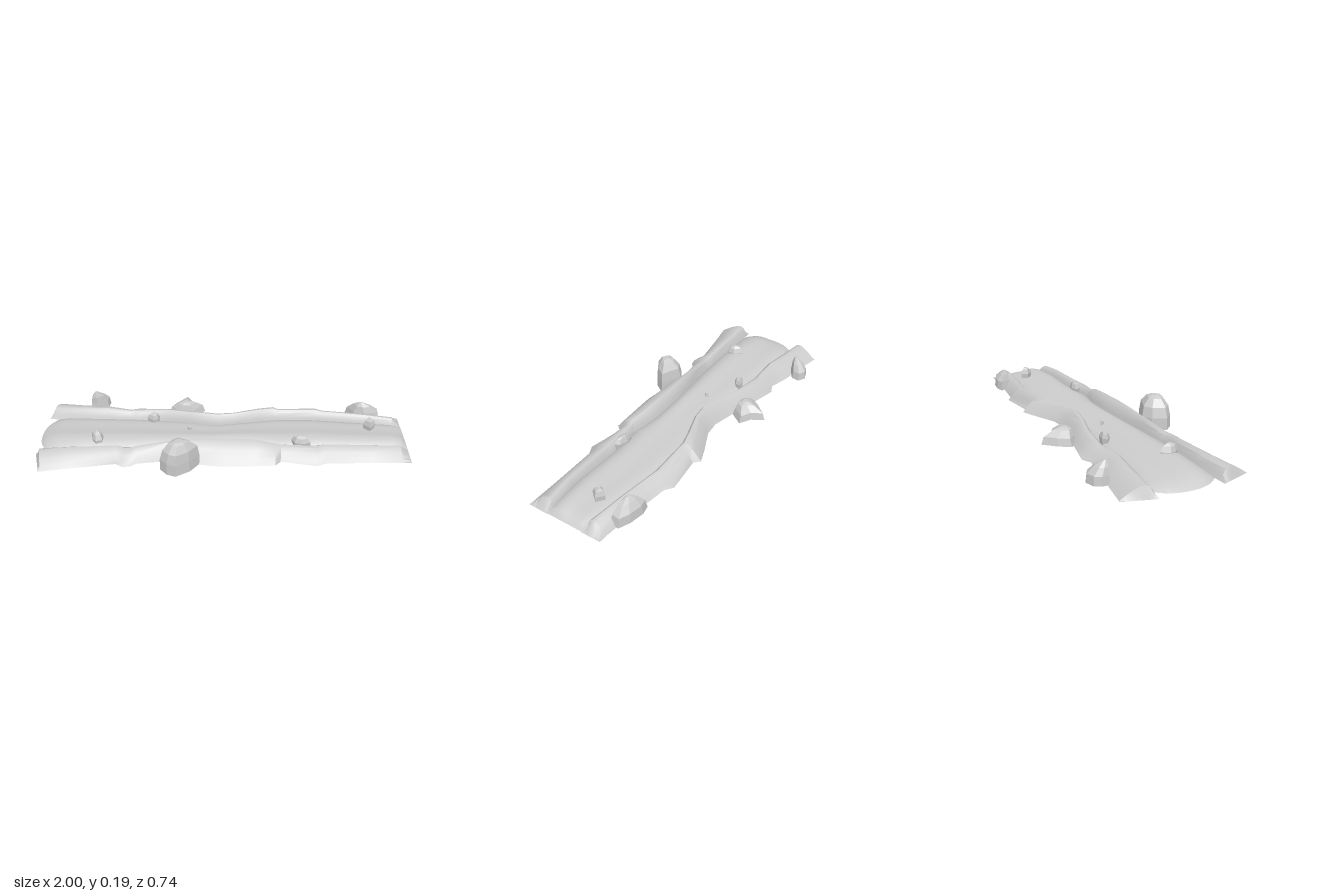
import * as THREE from 'three';
import { toCreasedNormals } from 'three/addons/utils/BufferGeometryUtils.js';

const ground = new THREE.MeshStandardMaterial({ color: 0xcccccc, side: THREE.DoubleSide });
const stone = new THREE.MeshStandardMaterial({ color: 0xcccccc, flatShading: true });

// Skin over rows of points (rows run along +x, points in a row along +z)
function loft(name, rows) {
  const n = rows[0].length, index = [];
  for (let i = 0; i < rows.length - 1; i++) {
    for (let j = 0; j < n - 1; j++) {
      const a = i * n + j, b = a + n;
      index.push(a, a + 1, b, b, a + 1, b + 1);
    }
  }
  const g = new THREE.BufferGeometry();
  g.setAttribute('position', new THREE.Float32BufferAttribute(rows.flat(2), 3));
  g.setIndex(index);
  const mesh = new THREE.Mesh(toCreasedNormals(g, 0.6), ground);
  mesh.name = name;
  return mesh;
}

// Bank: stations of [x, inner z, outer z, crest height]; the ends slope to the ground
const BANK_PROFILE = [[0, 0], [0.08, 0.45], [0.17, 0.85], [0.28, 1], [0.42, 0.96], [0.65, 0.66], [0.85, 0.3], [1, 0]];
function bank(name, side, stations, leftSkew) {
  const row = ([x, inner, outer, h], skew = 0) => {
    const pts = BANK_PROFILE.map(([t, k]) =>
      [x + skew * t, 0.016 + k * (h - 0.016), side * (inner + (outer - inner) * t)]);
    return side < 0 ? pts.reverse() : pts;
  };
  const first = stations[0], last = stations[stations.length - 1];
  const rows = [
    row([-1, first[1], first[2], 0.016], leftSkew),
    ...stations.map((s, i) => row(s, i === 0 ? leftSkew * 0.6 : 0)),
    row([1, last[1], last[2], 0.016]),
  ];
  return loft(name, rows);
}

// Stream bed: shallow dome across, rounded at the left end, sloping down at both ends
function streamBed() {
  const xs = [-1, -0.97, -0.9, -0.75, -0.5, -0.25, -0.05, 0.15, 0.3, 0.5, 0.75, 0.92, 0.97, 1];
  const zMid = [0.01, 0.01, 0.01, 0.015, 0.015, 0.015, 0.025, 0.005, 0, -0.01, 0.005, 0.005, 0.005, 0.005];
  const half = [0.16, 0.165, 0.17, 0.165, 0.16, 0.14, 0.11, 0.13, 0.16, 0.15, 0.14, 0.125, 0.12, 0.12];
  const ramp = [0, 0.5, 0.85, 1, 1, 1, 1, 1, 1, 1, 1, 0.9, 0.65, 0];
  const rise = [0, 0.027, 0.033, 0.034, 0.036, 0.04, 0.046, 0.05, 0.044, 0.03, 0];
  const rows = xs.map((x, i) => rise.map((r, j) => {
    const u = j / 5 - 1;
    const bend = 0.06 * Math.pow(Math.abs(u), 2.5) * Math.max(0, 1 - (x + 1) / 0.25);
    return [x + bend, 0.02 + r * ramp[i], zMid[i] + u * half[i]];
  }));
  return loft('streamBed', rows);
}

// Faceted stone: footprint [x, z] lifted through levels of [y, scale, shift x, shift z]
function rock(name, footprint, levels) {
  const n = footprint.length;
  const cx = footprint.reduce((s, p) => s + p[0], 0) / n;
  const cz = footprint.reduce((s, p) => s + p[1], 0) / n;
  const area = footprint.reduce((s, p, i) => {
    const q = footprint[(i + 1) % n];
    return s + p[0] * q[1] - q[0] * p[1];
  }, 0);
  const outline = area > 0 ? [...footprint].reverse() : footprint;
  const pos = [], index = [];
  for (const [y, k, dx = 0, dz = 0] of levels) {
    for (const [x, z] of outline) pos.push(cx + (x - cx) * k + dx, y, cz + (z - cz) * k + dz);
  }
  const top = levels[levels.length - 1];
  const bottomCentre = pos.length / 3, topCentre = bottomCentre + 1;
  pos.push(cx, levels[0][0], cz, cx + (top[2] || 0), top[0], cz + (top[3] || 0));
  for (let j = 0; j < n; j++) {
    const k = (j + 1) % n;
    for (let l = 0; l < levels.length - 1; l++) {
      const a = l * n + j, b = l * n + k;
      index.push(a, b, a + n, b, b + n, a + n);
    }
    const last = (levels.length - 1) * n;
    index.push(bottomCentre, k, j, topCentre, last + j, last + k);
  }
  const g = new THREE.BufferGeometry();
  g.setAttribute('position', new THREE.Float32BufferAttribute(pos, 3));
  g.setIndex(index);
  const flat = g.toNonIndexed();
  flat.computeVertexNormals();
  const mesh = new THREE.Mesh(flat, stone);
  mesh.name = name;
  return mesh;
}

export function createModel() {
  const model = new THREE.Group();
  model.name = 'streamPath';
  model.add(streamBed());

  // Raised banks on both sides, with notched outer edges
  model.add(bank('backBank', -1, [
    [-0.97, 0.155, 0.32, 0.075], [-0.8, 0.14, 0.295, 0.08], [-0.65, 0.125, 0.275, 0.088],
    [-0.53, 0.13, 0.245, 0.075], [-0.48, 0.13, 0.27, 0.075], [-0.3, 0.12, 0.23, 0.09],
    [-0.18, 0.085, 0.2, 0.1], [-0.03, 0.06, 0.168, 0.103], [0.06, 0.072, 0.178, 0.103],
    [0.2, 0.115, 0.243, 0.1], [0.28, 0.135, 0.275, 0.095], [0.31, 0.138, 0.247, 0.088],
    [0.52, 0.145, 0.275, 0.085], [0.56, 0.142, 0.245, 0.08], [0.78, 0.117, 0.22, 0.078],
    [0.95, 0.095, 0.207, 0.068],
  ], 0.05));
  model.add(bank('frontBank', 1, [
    [-0.97, 0.18, 0.345, 0.075], [-0.8, 0.17, 0.315, 0.08], [-0.56, 0.165, 0.27, 0.083],
    [-0.52, 0.165, 0.295, 0.075], [-0.48, 0.163, 0.29, 0.075], [-0.45, 0.162, 0.265, 0.08],
    [-0.3, 0.15, 0.24, 0.1], [-0.15, 0.12, 0.262, 0.112], [0, 0.108, 0.282, 0.112],
    [0.18, 0.11, 0.272, 0.106], [0.28, 0.135, 0.265, 0.092], [0.31, 0.138, 0.23, 0.08],
    [0.5, 0.122, 0.265, 0.075], [0.55, 0.122, 0.24, 0.08], [0.8, 0.122, 0.23, 0.076],
    [0.95, 0.105, 0.227, 0.066],
  ], 0.05));

  // Boulders beside the banks
  model.add(rock('tallBoulder',
    [[-0.32, 0.31], [-0.28, 0.355], [-0.235, 0.371], [-0.165, 0.325], [-0.115, 0.255], [-0.235, 0.205], [-0.29, 0.235]],
    [[0.015, 1], [0.08, 0.98], [0.135, 0.86, 0.005], [0.175, 0.5, 0.01, 0], [0.187, 0.25, 0.015, 0.005]]));
  model.add(rock('starBoulder',
    [[-0.215, -0.37], [-0.175, -0.305], [-0.11, -0.27], [-0.165, -0.195], [-0.26, -0.195], [-0.315, -0.245], [-0.275, -0.305]],
    [[0.015, 1], [0.055, 0.86], [0.085, 0.5, 0, 0.02], [0.095, 0.2, 0, 0.025]]));
  model.add(rock('backLeftBoulder',
    [[0.7, -0.25], [0.75, -0.262], [0.83, -0.25], [0.892, -0.225], [0.885, -0.175], [0.8, -0.165], [0.735, -0.185]],
    [[0.02, 1], [0.07, 0.88], [0.105, 0.5, -0.01, 0.01], [0.125, 0.14, -0.02, 0.015]]));
  model.add(rock('backRightBoulder',
    [[-0.785, -0.315], [-0.765, -0.35], [-0.715, -0.366], [-0.675, -0.345], [-0.68, -0.3], [-0.74, -0.258], [-0.78, -0.275]],
    [[0.015, 1], [0.06, 0.9], [0.095, 0.6, -0.005, 0.015], [0.125, 0.15, -0.01, 0.03]]));

  // Smaller stones lying in the bed
  const stones = [
    ['stoneA', [[-0.71, 0.085], [-0.68, 0.04], [-0.645, 0.09], [-0.645, 0.13], [-0.68, 0.142], [-0.7, 0.12]], 0.11, 0],
    ['stoneB', [[0.37, 0.1], [0.41, 0.09], [0.46, 0.105], [0.472, 0.13], [0.43, 0.147], [0.385, 0.135]], 0.106, 0.01],
    ['stoneC', [[-0.427, -0.1], [-0.4, -0.12], [-0.36, -0.117], [-0.365, -0.09], [-0.39, -0.073]], 0.1, 0.015],
    ['stoneD', [[0.775, -0.045], [0.8, -0.082], [0.842, -0.05], [0.81, -0.01]], 0.116, 0.01],
    ['pebble', [[-0.197, -0.012], [-0.185, -0.022], [-0.172, -0.01], [-0.185, 0.003]], 0.078, 0.03],
  ];
  for (const [name, outline, top, bottom] of stones) {
    const h = top - bottom;
    model.add(rock(name, outline,
      [[bottom, 0.5], [bottom + h * 0.3, 0.9], [bottom + h * 0.65, 1], [bottom + h * 0.9, 0.7], [top, 0.3, 0, -0.005]]));
  }
  return model;
}
